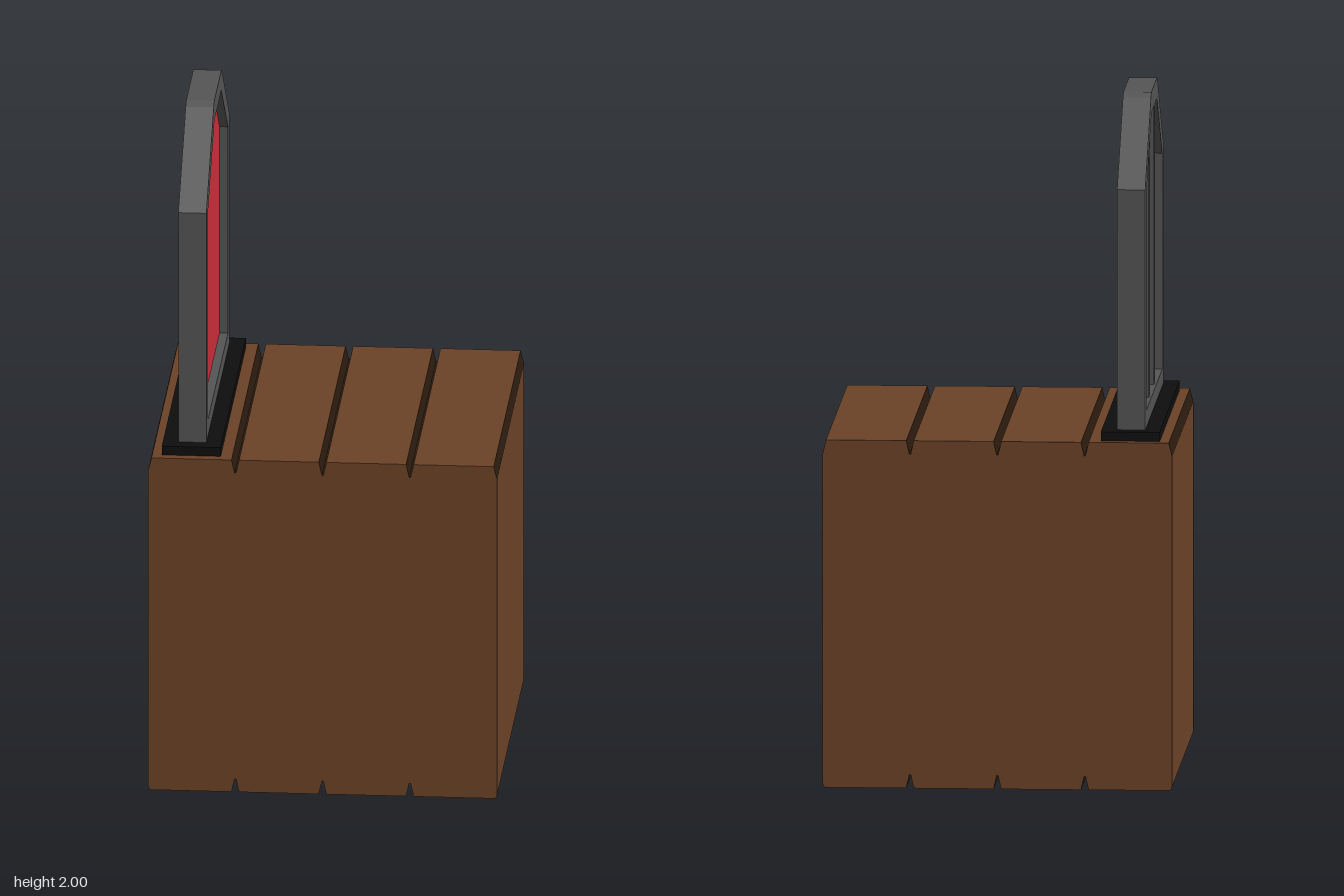
import * as THREE from 'three';

const paint = (color) => new THREE.MeshStandardMaterial({ color, flatShading: true });
const WOOD = paint(0x6b4226), TRIM = paint(0x2c1b0f), FRAME = paint(0x545454),
  BASE = paint(0x0e0e0e), RED = paint(0xcb2d3a);

const H = 0.51;      // half width of the crate
const TOP = 1.025;   // crate height
const G = 0.04;      // groove depth

function addMesh(parent, name, geometry, material) {
  const mesh = new THREE.Mesh(geometry, material);
  mesh.name = name;
  parent.add(mesh);
  return mesh;
}

function addBox(parent, name, material, [x0, x1], [y0, y1], [z0, z1]) {
  const geo = new THREE.BoxGeometry(x1 - x0, y1 - y0, z1 - z0);
  geo.translate((x0 + x1) / 2, (y0 + y1) / 2, (z0 + z1) / 2);
  return addMesh(parent, name, geo, material);
}

// Four planks fused into one block, with dark tapered grooves top and bottom
function createCrate() {
  const crate = new THREE.Group();
  crate.name = 'crate';
  const pts = [];
  const add = (x, y, dark) => pts.push({ x, y, dark }); // dark: the edge leaving this point
  const grooves = [-0.255, 0, 0.255];

  add(-H + 0.005, 0, false);
  for (const x of grooves) {
    add(x - 0.011, 0, true);
    add(x - 0.002, G, true);
    add(x + 0.002, G, true);
    add(x + 0.011, 0, false);
  }
  add(H - 0.005, 0, true);
  add(H, 0.012, false);
  add(H, TOP - G, true);
  add(H - 0.01, TOP, false);
  for (const x of [...grooves].reverse()) {
    add(x + 0.011, TOP, true);
    add(x + 0.002, TOP - G, true);
    add(x - 0.002, TOP - G, true);
    add(x - 0.011, TOP, false);
  }
  add(-H + 0.01, TOP, true);
  add(-H, TOP - G, false);
  add(-H, 0.012, true);

  // Long faces, sorted into wood and dark trim
  const wood = [], trim = [];
  const quad = (list, a, b, z0, z1) => list.push(
    a.x, a.y, z1, a.x, a.y, z0, b.x, b.y, z0,
    a.x, a.y, z1, b.x, b.y, z0, b.x, b.y, z1);
  pts.forEach((a, i) => {
    const b = pts[(i + 1) % pts.length];
    if (a.dark) quad(trim, a, b, -H, H);
    else if (a.x === b.x) { // side walls have thin dark upright edges
      quad(wood, a, b, -H + 0.01, H - 0.01);
      quad(trim, a, b, -H, -H + 0.01);
      quad(trim, a, b, H - 0.01, H);
    } else quad(wood, a, b, -H, H);
  });
  for (const [name, list, mat] of [['planks', wood, WOOD], ['grooves', trim, TRIM]]) {
    const geo = new THREE.BufferGeometry();
    geo.setAttribute('position', new THREE.Float32BufferAttribute(list, 3));
    geo.computeVertexNormals();
    addMesh(crate, name, geo, mat);
  }

  // Front and back walls
  const wall = new THREE.ShapeGeometry(
    new THREE.Shape(pts.map((p) => new THREE.Vector2(p.x, p.y))));
  addMesh(crate, 'frontWall', wall, WOOD).position.z = H;
  const back = addMesh(crate, 'backWall', wall, WOOD);
  back.position.z = -H;
  back.rotation.y = Math.PI;
  return crate;
}

// Symmetric outline from the right half, listed bottom to top
const mirrored = (half) => [
  ...half, ...[...half].reverse().map(([u, v]) => [-u, v]),
].map(([u, v]) => new THREE.Vector2(u, v));

// Extrudes an upright outline along x
function slab(shape, x0, x1) {
  const geo = new THREE.ExtrudeGeometry(shape, { depth: x1 - x0, bevelEnabled: false });
  return geo.rotateY(Math.PI / 2).translate(x0, 0, 0);
}

function createScreen() {
  const screen = new THREE.Group();
  screen.name = 'screen';
  const outer = mirrored([[0.44, 1.05], [0.44, 1.76], [0.158, 1.988], [0.135, 2]]);
  const inner = mirrored([[0.385, 1.1], [0.385, 1.737], [0.13, 1.94]]);

  // Surround with an opening, and the red panel set into it
  const surround = new THREE.Shape(outer);
  surround.holes.push(new THREE.Path(inner));
  addMesh(screen, 'frame', slab(surround, -0.427, -0.345), FRAME);
  addMesh(screen, 'panel', slab(new THREE.Shape(inner), -0.4, -0.37), RED);

  // Two uprights behind the panel
  for (const z of [-0.12, 0.12]) {
    addBox(screen, 'upright', FRAME, [-0.42, -0.395], [1.1, 1.94], [z - 0.016, z + 0.016]);
  }
  addBox(screen, 'basePlate', BASE, [-0.472, -0.3], [TOP, 1.052], [-0.481, 0.481]);
  return screen;
}

export function createModel() {
  const model = new THREE.Group();
  model.name = 'crateWithScreen';
  model.add(createCrate(), createScreen());
  return model;
}
